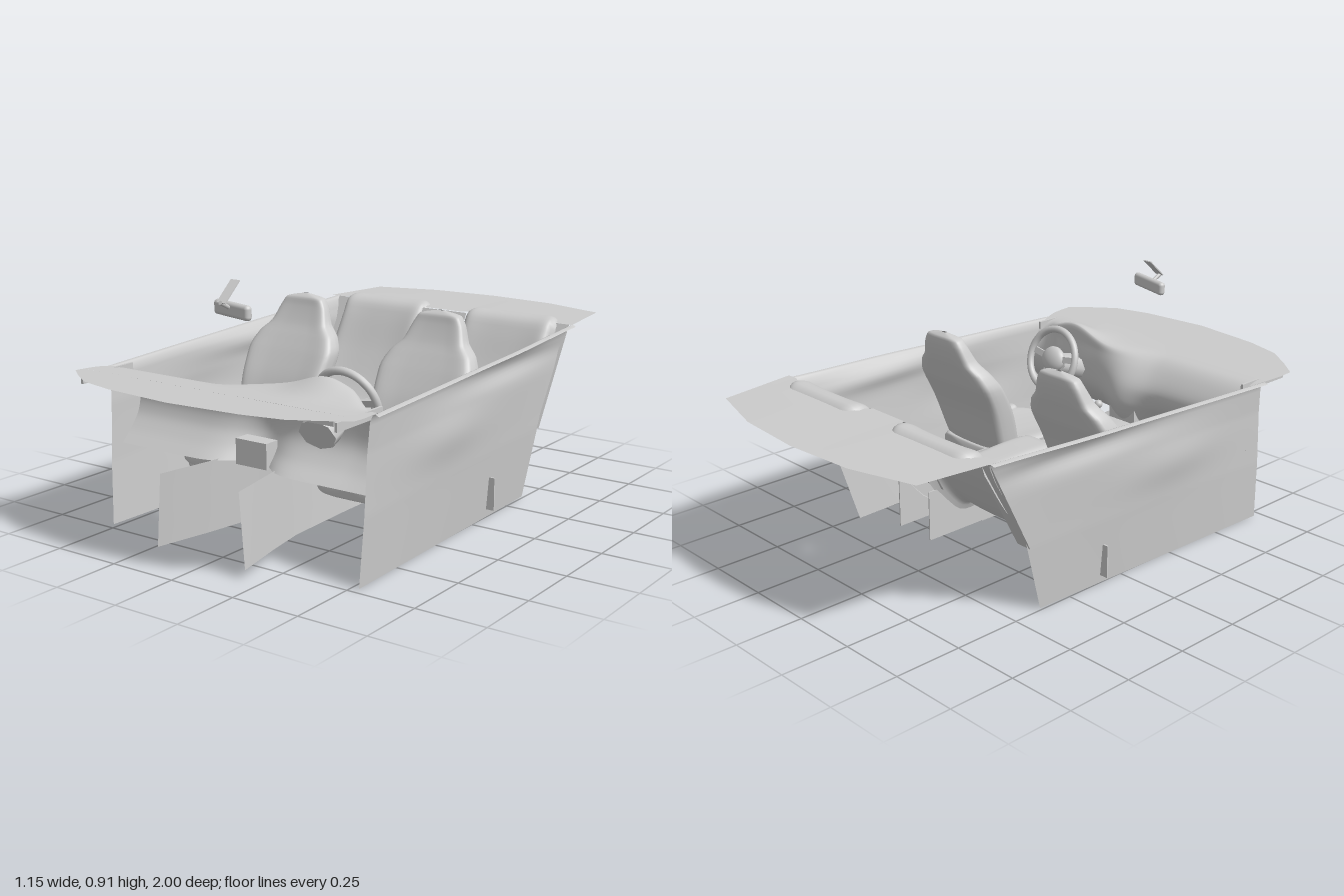
import * as THREE from 'three';
import { RoundedBoxGeometry } from 'three/addons/geometries/RoundedBoxGeometry.js';

const material = new THREE.MeshStandardMaterial({ color: 0xcccccc, side: THREE.DoubleSide });
const { smoothstep, clamp, lerp } = THREE.MathUtils;

function add(parent, name, geometry, x = 0, y = 0, z = 0) {
  const mesh = new THREE.Mesh(geometry, material);
  mesh.name = name;
  mesh.position.set(x, y, z);
  parent.add(mesh);
  return mesh;
}

// Open surface from a rule fn(u, v) -> [x, y, z]
function sheet(fn, nu, nv) {
  const pos = [], index = [];
  for (let j = 0; j <= nv; j++)
    for (let i = 0; i <= nu; i++) pos.push(...fn(i / nu, j / nv));
  for (let j = 0; j < nv; j++)
    for (let i = 0; i < nu; i++) {
      const a = j * (nu + 1) + i, b = a + nu + 1;
      index.push(a, a + 1, b, a + 1, b + 1, b);
    }
  const g = new THREE.BufferGeometry();
  g.setAttribute('position', new THREE.Float32BufferAttribute(pos, 3));
  g.setIndex(index);
  g.computeVertexNormals();
  return g;
}

// Linear interpolation in rows of [key, value...], keys rising
function lookup(rows, k) {
  let i = 0;
  while (i < rows.length - 2 && k > rows[i + 1][0]) i++;
  const a = rows[i], b = rows[i + 1];
  const t = clamp((k - a[0]) / (b[0] - a[0]), 0, 1);
  return a.slice(1).map((v, n) => lerp(v, b[n + 1], t));
}

const smooth = (points) => new THREE.CatmullRomCurve3(
  points.map(([z, y]) => new THREE.Vector3(0, y, z)), false, 'centripetal');
const bump = (v, centre, width) => Math.exp(-(((v - centre) / width) ** 2));

// Cushion: rounded rings [along, centre, halfWidth, halfThickness], raised at the sides
function cushion(sections, upright, bolster) {
  const curve = (n) => new THREE.CatmullRomCurve3(sections.map((s) => new THREE.Vector3(s[n], s[n + 1], 0)));
  const line = curve(0), size = curve(2);
  return sheet((u, v) => {
    const c = line.getPoint(v), s = size.getPoint(v), a = u * Math.PI * 2;
    const round = (t) => Math.sign(t) * Math.abs(t) ** 0.55;
    const cx = round(Math.cos(a)), cy = round(Math.sin(a));
    const side = cy > 0 ? bolster * (Math.abs(cx) ** 3 - 0.3) * clamp(s.y / 0.05 - 0.3, 0, 1) : 0;
    const across = c.y + cy * (s.y + side);
    return upright ? [cx * s.x, c.x, across] : [cx * s.x, across, c.x];
  }, 40, 36);
}

function frontSeat(parent, s) {
  const seat = new THREE.Group();
  seat.name = 'frontSeat';
  seat.position.x = s * 0.297;
  add(seat, 'seatBackrest', cushion([
    [0.2, 0.08, 0.01, 0.01], [0.22, 0.08, 0.15, 0.05], [0.3, 0.06, 0.165, 0.06], [0.42, 0.02, 0.18, 0.06],
    [0.52, -0.03, 0.188, 0.055], [0.58, -0.06, 0.165, 0.045], [0.62, -0.08, 0.125, 0.038],
    [0.68, -0.1, 0.1, 0.03], [0.71, -0.105, 0.08, 0.025], [0.725, -0.107, 0.01, 0.005]], true, 0.045));
  add(seat, 'seatCushion', cushion([
    [0, 0.22, 0.005, 0.005], [0.01, 0.22, 0.15, 0.045], [0.12, 0.225, 0.17, 0.052], [0.25, 0.225, 0.175, 0.052],
    [0.38, 0.22, 0.168, 0.048], [0.44, 0.213, 0.14, 0.042], [0.452, 0.211, 0.13, 0.038],
    [0.455, 0.21, 0.005, 0.003]], false, 0.04));
  add(seat, 'seatSideTrim', new RoundedBoxGeometry(0.048, 0.15, 0.32, 3, 0.02), s * 0.152, 0.205, 0.23);
  parent.add(seat);
}

// Rear seat: one open moulded shell, edges turned down
function rearSeat(parent, s) {
  const path = smooth([[-0.08, 0.17], [-0.075, 0.25], [-0.12, 0.285], [-0.25, 0.265], [-0.35, 0.25], [-0.4, 0.29],
    [-0.5, 0.43], [-0.58, 0.57], [-0.61, 0.612], [-0.65, 0.628], [-0.685, 0.625], [-0.7, 0.61]]);
  add(parent, 'rearSeat', sheet((u, v) => {
    const p = path.getPointAt(v), t = path.getTangentAt(v), k = u * 2 - 1;
    const edge = 0.018 * Math.abs(k) ** 3 - 0.06 * Math.abs(k) ** 14;
    const w = 0.195 + 0.013 * bump(v, 0.45, 0.25) - 0.03 * smoothstep(v, 0.92, 1);
    const flat = clamp((1 - v) * 6, 0.2, 1);
    return [k * w, p.y - t.z * edge * flat, p.z + t.y * edge * flat];
  }, 40, 48), s * 0.285);
  // Fills the gap between backrest and side panel
  add(parent, 'rearCornerTrim', sheet((u, v) => [
    s * (0.455 + (0.06 + 0.015 * v) * u), 0.25 + 0.362 * v, -0.45 - 0.19 * v], 6, 12));
}

// Door and quarter panel, with bulged map pocket, inner ledge and flared sill
function sidePanel(parent, s) {
  const rear = [[0, -0.38], [0.3, -0.47], [0.62, -0.65]];
  const flare = [[0, 0], [0.4, 0.01], [0.75, 0.012], [0.92, 0.018], [0.97, 0.03], [1, 0.05]];
  add(parent, 'sidePanel', sheet((u, v) => {
    const top = 0.56 + 0.055 * u;
    const y = top * Math.min(v, 0.97) / 0.97 - Math.max(0, v - 0.97) * 0.3;
    const zr = lookup(rear, y)[0], zf = 0.72 - 0.06 * y;
    const z = zf + (zr - zf) * u;
    const base = 0.525 - 0.035 * u * (1 - v) - 0.018 * smoothstep(u, 0.6, 1) * v;
    const pocket = 0.014 * bump(z, 0.22, 0.22) * bump(y, 0.38, 0.08);
    const ledge = 0.022 * bump(z, -0.2, 0.35) * bump(y, 0.53, 0.04);
    return [s * (base + lookup(flare, v)[0] + pocket - ledge), y, z];
  }, 48, 48));
  add(parent, 'dashEndStrip', new THREE.BoxGeometry(0.01, 0.03, 0.24), s * 0.525, 0.545, 0.72);
}

function dashboard(parent) {
  const front = [[0, 1], [0.27, 0.975], [0.41, 0.94], [0.5, 0.88], [0.575, 0.82]];
  // Flat cover under the windscreen
  add(parent, 'dashTop', sheet((u, v) => {
    const x = (u * 2 - 1) * 0.575, z = lerp(lookup(front, Math.abs(x))[0], 0.78, v);
    return [x, 0.555 + (z - 0.6) * 0.055, z];
  }, 56, 8));
  // Rounded pad on the passenger side, blending into a hooded instrument pod
  const pad = smooth([[0.78, 0.565], [0.7, 0.56], [0.64, 0.547], [0.595, 0.51], [0.555, 0.44],
    [0.565, 0.38], [0.6, 0.33], [0.65, 0.28]]);
  const pod = smooth([[0.78, 0.565], [0.67, 0.562], [0.565, 0.562], [0.555, 0.53], [0.545, 0.46],
    [0.55, 0.39], [0.59, 0.33], [0.65, 0.28]]);
  add(parent, 'dashPad', sheet((u, v) => {
    const k = u * 2 - 1, x = k * (0.575 - 0.04 * smoothstep(v, 0, 0.4));
    const w = smoothstep(x, -0.12, 0.15) * (1 - smoothstep(x, 0.38, 0.52));
    const p = pad.getPoint(v).lerp(pod.getPoint(v), w);
    const hood = 0.053 * bump(x, 0.29, 0.12) * bump(v, 0.3, 0.13);
    return [x, p.y + hood, p.z - 0.1 * bump(x, 0, 0.1) * v * v];
  }, 64, 42));
  add(parent, 'instrumentHousing', new THREE.BoxGeometry(0.215, 0.07, 0.1), 0.278, 0.52, 0.61);
  add(parent, 'consoleBack', new THREE.BoxGeometry(0.13, 0.09, 0.06), 0.003, 0.317, 0.57);
}

function steering(parent) {
  const wheel = new THREE.Group();
  wheel.name = 'steeringWheel';
  wheel.position.set(0.278, 0.5, 0.43);
  wheel.rotation.x = 0.32;
  add(wheel, 'wheelRim', new THREE.TorusGeometry(0.118, 0.014, 12, 48));
  const hub = add(wheel, 'wheelHub', new THREE.SphereGeometry(0.056, 24, 16), 0, 0, 0.005);
  hub.scale.set(1, 0.9, 0.5);
  for (const a of [0.15, Math.PI - 0.15, -1.15, Math.PI + 1.15]) {
    const spoke = add(wheel, 'wheelSpoke', new THREE.BoxGeometry(0.09, 0.024, 0.012),
      Math.cos(a) * 0.075, Math.sin(a) * 0.075, 0.005);
    spoke.rotation.z = a;
  }
  const column = add(wheel, 'steeringColumn', new THREE.CylinderGeometry(0.05, 0.062, 0.17, 8), 0, -0.015, 0.1);
  column.rotation.x = -Math.PI / 2;
  column.scale.set(1.2, 1, 0.85);
  parent.add(wheel);
}

function centreTunnel(parent) {
  // Flared footwell walls: rows of z, bottom x, top x, bottom y, top y
  const wall = [[-0.1, 0.105, 0.08, 0.03, 0.29], [0.2, 0.105, 0.085, 0.03, 0.29],
    [0.5, 0.115, 0.1, 0.03, 0.29], [0.65, 0.14, 0.125, 0.03, 0.285], [0.86, 0.185, 0.165, 0.03, 0.285]];
  for (const s of [-1, 1]) {
    add(parent, 'tunnelWall', sheet((u, v) => {
      const z = -0.1 + 0.96 * u, [xb, xt, yb, yt] = lookup(wall, z);
      return [s * lerp(xb, xt, v), lerp(yb, yt, v), z];
    }, 24, 4));
    add(parent, 'rearTunnelWall', new THREE.BoxGeometry(0.004, 0.18, 0.41), s * 0.08, 0.24, -0.305);
    add(parent, 'rearSeatRiser', new THREE.BoxGeometry(0.428, 0.12, 0.006), s * 0.319, 0.09, -0.1);
  }
  const lid = smooth([[0.52, 0.3], [0.2, 0.295], [0.13, 0.3], [0.1, 0.33], [-0.2, 0.335], [-0.46, 0.33]]);
  add(parent, 'tunnelLid', sheet((u, v) => {
    const p = lid.getPointAt(v), k = u * 2 - 1;
    return [k * (0.08 + 0.022 * (1 - v)), p.y - 0.035 * Math.abs(k) ** 8, p.z];
  }, 16, 32));
  add(parent, 'rearDivider', sheet((u, v) => [(u * 2 - 1) * 0.1, 0.33 + 0.283 * v, -0.46 - 0.15 * v], 1, 4));
  const brake = add(parent, 'handbrake', new THREE.CapsuleGeometry(0.011, 0.14, 6, 12), -0.032, 0.335, 0.2);
  brake.rotation.x = Math.PI / 2 - 0.2;
  add(parent, 'gearStick', new THREE.CylinderGeometry(0.007, 0.01, 0.08, 12), 0.015, 0.34, 0.42);
  add(parent, 'gearKnob', new THREE.SphereGeometry(0.016, 16, 12), 0.015, 0.385, 0.42);
}

// Flat shelf behind the rear seats, cut back where the seat tops rise
function rearDeck(parent) {
  const back = [[0, -1], [0.27, -0.98], [0.51, -0.91]];
  const seatSide = [[0, -0.61], [0.08, -0.61], [0.11, -0.665], [0.42, -0.665], [0.46, -0.62], [0.51, -0.62]];
  add(parent, 'rearDeck', sheet((u, v) => {
    const x = (u * 2 - 1) * 0.51, zb = lookup(back, Math.abs(x))[0], zf = lookup(seatSide, Math.abs(x))[0];
    return [x * (1 + 0.08 * v), 0.613 + 0.003 * v, lerp(zb, zf, v)];
  }, 68, 8));
}

function mirror(parent) {
  const body = add(parent, 'rearViewMirror', new RoundedBoxGeometry(0.185, 0.05, 0.028, 4, 0.013), 0, 0.815, 0.675);
  body.rotation.y = -0.26;
  const stem = add(parent, 'mirrorStem', new THREE.BoxGeometry(0.036, 0.098, 0.004), -0.003, 0.876, 0.692);
  stem.rotation.x = -0.85;
  add(parent, 'mirrorPivot', new THREE.CylinderGeometry(0.007, 0.007, 0.045, 10), -0.005, 0.835, 0.71).rotation.x = 1.1;
}

export function createModel() {
  const model = new THREE.Group();
  model.name = 'carInterior';
  for (const s of [-1, 1]) {
    sidePanel(model, s);
    frontSeat(model, s);
    rearSeat(model, s);
  }
  dashboard(model);
  steering(model);
  centreTunnel(model);
  rearDeck(model);
  mirror(model);
  return model;
}
